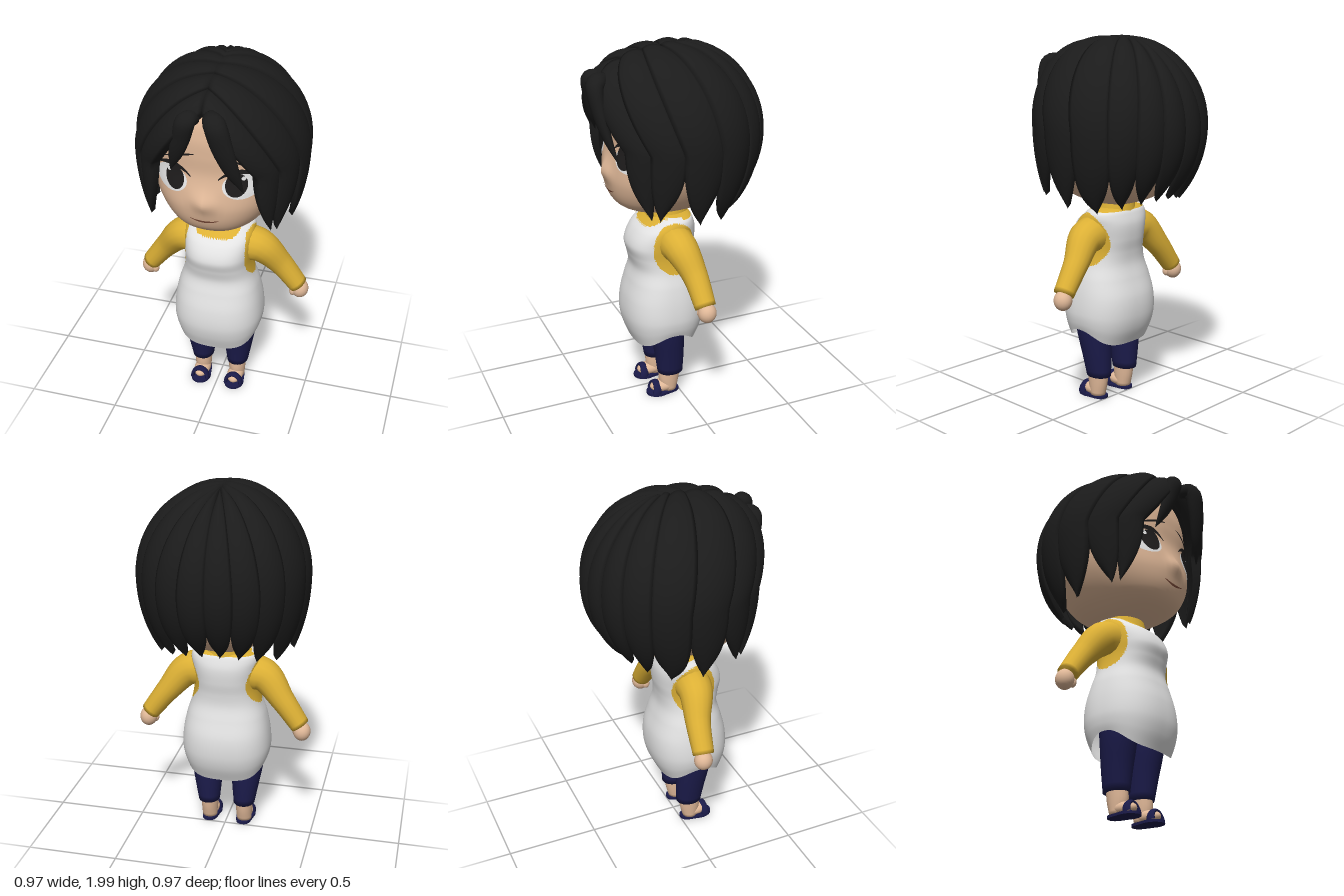
import * as THREE from 'three';

const mat = (name, color, side = THREE.FrontSide) => {
  const m = new THREE.MeshStandardMaterial({ color, side });
  m.name = name;
  return m;
};
const { sin, cos, abs, min, max, PI, sign, sqrt, asin } = Math;
const lerp = THREE.MathUtils.lerp;
const V = (x, y, z) => new THREE.Vector3(x, y, z);

// Smooth interpolation of column k in rows sorted by their first column
function at(rows, y, k) {
  let i = 0;
  while (i < rows.length - 2 && y > rows[i + 1][0]) i++;
  const slope = j => {
    const a = rows[max(j - 1, 0)], b = rows[min(j + 1, rows.length - 1)];
    return (b[k] - a[k]) / (b[0] - a[0]);
  };
  const h = rows[i + 1][0] - rows[i][0], t = (y - rows[i][0]) / h, t2 = t * t, t3 = t2 * t;
  return (2 * t3 - 3 * t2 + 1) * rows[i][k] + (t3 - 2 * t2 + t) * h * slope(i)
    + (3 * t2 - 2 * t3) * rows[i + 1][k] + (t3 - t2) * h * slope(i + 1);
}

// Joins closed rings into a skin, with optional end caps, facing outwards
function skin(rings, capStart = true, capEnd = true) {
  const n = rings[0].length, pts = rings.flat(), idx = [];
  for (let i = 0; i < rings.length - 1; i++) for (let j = 0; j < n; j++) {
    const a = i * n + j, b = i * n + (j + 1) % n;
    idx.push(a, b, b + n, a, b + n, a + n);
  }
  const cap = (i, flip) => {
    const c = pts.length, mid = V(0, 0, 0);
    rings[i].forEach(p => mid.addScaledVector(p, 1 / n));
    pts.push(mid);
    for (let j = 0; j < n; j++) {
      const a = i * n + j, b = i * n + (j + 1) % n;
      flip ? idx.push(b, a, c) : idx.push(a, b, c);
    }
  };
  if (capStart) cap(0, true);
  if (capEnd) cap(rings.length - 1, false);
  const o = V(0, 0, 0);
  pts.forEach(p => o.addScaledVector(p, 1 / pts.length));
  let vol = 0;
  for (let i = 0; i < idx.length; i += 3) {
    const [a, b, c] = [0, 1, 2].map(k => pts[idx[i + k]].clone().sub(o));
    vol += a.dot(b.cross(c));
  }
  if (vol < 0) idx.reverse();
  const g = new THREE.BufferGeometry().setFromPoints(pts);
  g.setIndex(idx);
  g.computeVertexNormals();
  return g;
}

// Oval cross-sections from rows of [y, halfWidth, frontZ, backZ]
function ovalRings(rows, steps, sides, power, move = p => p) {
  const rings = [], y0 = rows[0][0], y1 = rows[rows.length - 1][0];
  for (let i = 0; i <= steps; i++) {
    const y = lerp(y0, y1, i / steps), w = at(rows, y, 1), f = at(rows, y, 2), b = at(rows, y, 3);
    const ring = [];
    for (let j = 0; j < sides; j++) {
      const a = j / sides * 2 * PI, c = cos(a), s = sin(a), e = 2 / power;
      ring.push(move(V(w * sign(c) * abs(c) ** e, y, (f + b) / 2 + (f - b) / 2 * sign(s) * abs(s) ** e), c, s));
    }
    rings.push(ring);
  }
  return rings;
}

// Tapered sweep: nodes are [x, y, z, radius along axis, radius across it]
function sweep(nodes, axis, steps = 24, sides = 16) {
  const curve = new THREE.CatmullRomCurve3(nodes.map(n => V(n[0], n[1], n[2])));
  const table = nodes.map((n, i) => [i / (nodes.length - 1), n[3], n[4]]);
  return skin(Array.from({ length: steps + 1 }, (_, i) => {
    const t = i / steps, p = curve.getPoint(t), T = curve.getTangent(t);
    const side = axis.clone().addScaledVector(T, -T.dot(axis)).normalize(), nor = T.clone().cross(side);
    return Array.from({ length: sides }, (_, j) => {
      const a = j / sides * 2 * PI;
      return p.clone().addScaledVector(side, cos(a) * at(table, t, 1)).addScaledVector(nor, sin(a) * at(table, t, 2));
    });
  }));
}

const HEAD = [[1.1, .05, .1, -.04], [1.12, .13, .2, -.12], [1.15, .19, .285, -.2], [1.2, .25, .335, -.27],
  [1.3, .315, .362, -.34], [1.4, .35, .355, -.38], [1.5, .36, .337, -.395], [1.6, .355, .34, -.39],
  [1.7, .33, .335, -.36], [1.8, .265, .3, -.29], [1.87, .17, .2, -.18], [1.91, .03, .03, -.04]];
const nose = (x, y) => .032 * Math.exp(-((x / .05) ** 2) - ((y - 1.355) / .05) ** 2);
function faceZ(x, y) {
  const w = at(HEAD, y, 1), f = at(HEAD, y, 2), b = at(HEAD, y, 3), p = 2.3;
  return (f + b) / 2 + (f - b) / 2 * max(0, 1 - abs(x / w) ** p) ** (1 / p) + nose(x, y);
}

// Thin patch lying on the face; map(u, v) gives x and y
function facePatch(map, lift, nu = 24, nv = 6) {
  const g = new THREE.PlaneGeometry(1, 1, nu, nv), p = g.attributes.position, uv = g.attributes.uv;
  for (let i = 0; i < p.count; i++) {
    const [x, y] = map(uv.getX(i), uv.getY(i));
    p.setXYZ(i, x, y, faceZ(x, y) + lift);
  }
  g.computeVertexNormals();
  return g;
}
const disc = (x, y, rx, ry, lift) =>
  facePatch((u, v) => [x + rx * v * cos(u * 2 * PI), y + ry * v * sin(u * 2 * PI)], lift, 32, 6);
const stroke = (a, b, c, width, lift) => {
  const curve = new THREE.QuadraticBezierCurve(...[a, b, c].map(q => new THREE.Vector2(...q)));
  return facePatch((u, v) => {
    const q = curve.getPoint(u);
    return [q.x, q.y + (v - .5) * width * (.25 + .75 * sin(PI * u))];
  }, lift, 24, 2);
};

// Point on the hair shell, running from the parting (u = 0) to the rim (u = 1) and down
const lowRadius = a => lerp(.7, cos(a) < 0 ? .48 : .8, abs(cos(a)));
function hairPoint(z0, a, u, scale) {
  const k = (z0 + .02) / (z0 > -.02 ? .48 : .465);
  const d0 = V(0, sqrt(1 - k * k), k), d = V(sin(a), 0, cos(a));
  if (u <= 1) {
    const w = d0.angleTo(d);
    d.multiplyScalar(sin(u * w) / sin(w)).addScaledVector(d0, sin((1 - u) * w) / sin(w));
  } else d.set(sin(a) * cos(u - 1), -sin(u - 1), cos(a) * cos(u - 1));
  const ry = d.y > 0 ? .47 : lowRadius(a), rz = d.z > 0 ? .48 : .465;
  // the fringe puffs up and forward
  const puff = scale * (1 + .36 * max(0, d.z) ** 2 * max(0, d.y));
  return V(.457 * d.x * scale, 1.53 + ry * d.y * puff, -.02 + rz * d.z * puff);
}
// One lock between two edges; lean moves the tip towards either edge
function lock(side, [zA, aA], [zB, aB], [tip, taper, lean]) {
  const rings = [], steps = 30, M = 10, rad = PI / 180;
  const drop = asin((1.53 - tip) / lowRadius((aA + aB) / 2 * rad));
  for (let i = 0; i <= steps; i++) {
    const u = i / steps * (1 + drop), v = max(0, (u - 1) / drop), w = 1.05 * (1 - v ** taper) + .01;
    const point = (t, scale) => {
      const m = (t * w + 1) / 2 + lean * v * v;
      const p = hairPoint(lerp(zA, zB, m), lerp(aA, aB, m) * rad, u, scale);
      p.x *= side;
      return p;
    };
    const ring = [];
    for (let j = 0; j <= M; j++) {
      const t = j / M * 2 - 1;
      ring.push(point(t, .955 + .015 * min(1, u * 4) + .034 * (1 - t ** 2) - .008 * t));
    }
    for (let j = M; j >= 0; j--) ring.push(point(j / M * 2 - 1, lerp(.87, .95, v)));
    rings.push(ring);
  }
  return skin(rings);
}

export function createModel() {
  const D = THREE.DoubleSide;
  const hair = mat('black hair', 0x1b1b1b), skinTone = mat('skin', 0xe0b898), shirt = mat('yellow shirt', 0xdcb035, D),
    apron = mat('white apron', 0xe2e2e2, D), navy = mat('navy cloth', 0x1b1b4a), white = mat('eye white', 0xf0f0f0, D),
    dark = mat('eye black', 0x1e1c1c, D), lip = mat('mouth brown', 0x7a4a38, D);
  const model = new THREE.Group();
  const add = (name, geo, m) => {
    const mesh = new THREE.Mesh(geo, m);
    mesh.name = name;
    model.add(mesh);
  };

  // Head and face
  add('head', skin(ovalRings(HEAD, 60, 64, 2.3, (p, c, s) => {
    if (s > 0) p.z += nose(p.x, p.y);
    return p;
  })), skinTone);
  add('mouth', stroke([-.075, 1.258], [0, 1.23], [.075, 1.258], .012, .004), lip);
  for (const s of [-1, 1]) {
    add('eyeWhite', disc(s * .18, 1.454, .09, .068, .004), white);
    add('iris', disc(s * .158, 1.465, .053, .064, .007), dark);
    add('eyeHighlight', disc(s * .192, 1.5, .011, .011, .0095), white);
    add('upperLash', stroke([s * .07, 1.49], [s * .16, 1.58], [s * .275, 1.5], .026, .009), dark);
    add('eyebrow', stroke([s * .05, 1.615], [s * .13, 1.605], [s * .23, 1.555], .014, .005), dark);
  }

  // Hair locks fanning out from the centre parting: [parting z, rim angle]
  const edges = [[.345, 37], [.25, 54], [.155, 75], [.06, 100], [-.02, 125], [-.07, 144], [-.1, 162], [-.11, 180]];
  // [tip height, taper, lean]
  const ends = [[1.17, 2.4, .4], [1.17, 3, -.3], [1.13, 3, 0], [1.11, 4.5, 0], [1.13, 4.5, 0], [1.15, 4.5, 0], [1.16, 4.5, 0]];
  for (const s of [-1, 1]) ends.forEach((end, i) => add('hairLock', lock(s, edges[i], edges[i + 1], end), hair));
  // Loose fringe strands
  const X = V(1, 0, 0);
  add('leftFringe', sweep([[.045, 1.845, .38, .04, .04], [.08, 1.84, .435, .055, .045], [.115, 1.73, .438, .055, .035],
    [.16, 1.58, .408, .038, .022], [.205, 1.46, .37, .003, .003]], X), hair);
  add('rightFringe', sweep([[-.04, 1.835, .365, .035, .04], [-.065, 1.83, .415, .05, .04], [-.095, 1.73, .41, .045, .03],
    [-.13, 1.63, .39, .034, .02], [-.165, 1.53, .36, .003, .003]], X), hair);

  // Apron over shirt, split into two colours at the neckline and armholes
  const torso = skin(ovalRings([[.335, .228, .238, -.1], [.42, .241, .27, -.138], [.5, .247, .284, -.154], [.6, .24, .276, -.15],
    [.7, .22, .25, -.122], [.78, .194, .23, -.1], [.85, .182, .243, -.1], [.92, .182, .256, -.11], [1, .188, .215, -.112],
    [1.05, .186, .15, -.098], [1.08, .16, .11, -.08], [1.092, .09, .08, -.05]], 90, 120, 2.4, (p, c) => {
    p.y += .08 * c ** 4 * max(0, (.6 - p.y) / .26) ** 2;
    return p;
  }), false, true);
  const parts = [[], []], P = torso.attributes.position, I = torso.index.array;
  for (let i = 0; i < I.length; i += 3) {
    const tri = [I[i], I[i + 1], I[i + 2]];
    const mid = f => tri.reduce((t, k) => t + f(k) / 3, 0);
    const x = mid(k => P.getX(k)), y = mid(k => P.getY(k)), z = mid(k => P.getZ(k));
    const neckline = y > (z > 0 ? 1.03 + .05 * (x / .128) ** 8 : 1.075);
    const armhole = abs(x) > .09 && ((z - .05) / .118) ** 2 + ((y - .92) / .145) ** 2 < 1;
    parts[neckline || armhole ? 1 : 0].push(...tri);
  }
  torso.setIndex(parts.flat());
  torso.addGroup(0, parts[0].length, 0);
  torso.addGroup(parts[0].length, parts[1].length, 1);
  add('apronAndShirt', torso, [apron, shirt]);
  add('collar', new THREE.CylinderGeometry(.105, .118, .07, 32, 1, true).translate(0, 1.08, .025), shirt);
  add('neck', new THREE.CylinderGeometry(.09, .09, .14, 24).translate(0, 1.09, .025), skinTone);

  const ball = (x, y, z, rx, ry, rz) => new THREE.SphereGeometry(1, 24, 16).scale(rx, ry, rz).translate(x, y, z);
  for (const s of [-1, 1]) {
    // Arms
    add('sleeve', sweep([[s * .12, .95, .045, .1, .105], [s * .215, .935, .035, .092, .092], [s * .32, .82, .0, .068, .067],
      [s * .425, .68, -.015, .057, .053]], V(0, 0, 1)), shirt);
    add('hand', ball(s * .435, .65, -.02, .048, .054, .05), skinTone);
    add('thumb', ball(s * .4, .64, .0, .02, .028, .022), skinTone);
    // Legs
    add('trouserLeg', skin(ovalRings([[.13, .06, .122, -.022], [.25, .077, .14, -.024], [.4, .096, .165, -.022],
      [.56, .1, .17, -.03]], 12, 28, 2.1, p => {
      p.x = s * (p.x + lerp(.103, .116, (p.y - .13) / .27));
      return p;
    })), navy);
    add('ankle', skin(ovalRings([[.015, .042, .1, .016], [.08, .047, .115, .0], [.15, .05, .115, -.008]], 8, 20, 2, p => {
      p.x += s * .102;
      return p;
    })), skinTone);
    add('foot', ball(s * .1, .042, .09, .046, .036, .08), skinTone);
    // Sandals
    const sole = new THREE.Shape();
    sole.moveTo(0, 0);
    sole.bezierCurveTo(.05, 0, .04, -.06, .055, -.11);
    sole.bezierCurveTo(.06, -.16, .03, -.19, 0, -.19);
    sole.bezierCurveTo(-.03, -.19, -.06, -.16, -.055, -.11);
    sole.bezierCurveTo(-.04, -.06, -.05, 0, 0, 0);
    add('sandalSole', new THREE.ExtrudeGeometry(sole, { depth: .014, bevelEnabled: false, curveSegments: 10 })
      .rotateX(-PI / 2).translate(s * .1, 0, 0), navy);
    add('sandalStrap', new THREE.TorusGeometry(.044, .011, 10, 24, PI).scale(1, 1.25, 2.2).rotateX(-.2)
      .translate(s * .1, .012, .145), navy);
  }
  return model;
}
